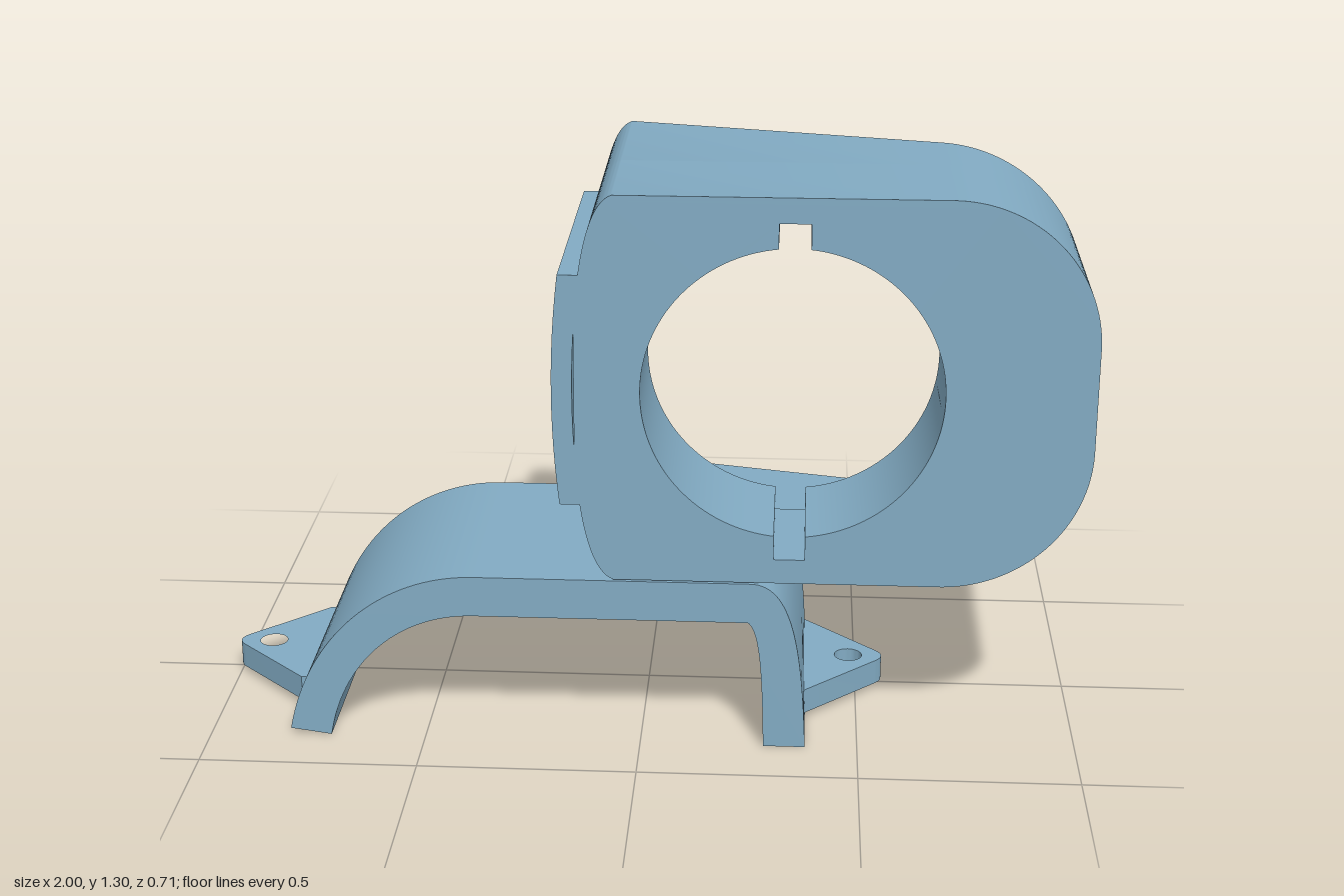
import * as THREE from 'three';
import { toCreasedNormals } from 'three/addons/utils/BufferGeometryUtils.js';

const FRONT = 0.355, FLOOR = 0.05, CY = 0.8575;
// Slanted back plane of the housing
const backZ = x => Math.max(-0.355, -0.355 + (x + 0.17) * 0.235);

export function createModel() {
  const group = new THREE.Group();
  const blue = new THREE.MeshStandardMaterial({ color: 0x82abc3 });
  blue.name = 'steel blue';

  const add = (name, geometry) => {
    const mesh = new THREE.Mesh(toCreasedNormals(geometry, 0.5), blue);
    mesh.name = name;
    group.add(mesh);
    return mesh;
  };

  // Prism along z from back (a number or a rule of x) to front
  const prism = (name, shape, front, back) => {
    const geo = new THREE.ExtrudeGeometry(shape, { depth: 1, bevelEnabled: false, curveSegments: 32 });
    const p = geo.attributes.position;
    for (let i = 0; i < p.count; i++) {
      const rear = typeof back === 'function' ? back(p.getX(i)) : back;
      p.setZ(i, p.getZ(i) > 0.5 ? front : rear);
    }
    geo.computeVertexNormals();
    return add(name, geo);
  };

  // Upper half of the housing outline, mirrored about its middle height
  const outline = inner => {
    const t = inner ? 0.04 : 0, top = 0.4475 - t;
    const path = new THREE.Path();
    path.moveTo(inner ? -0.1 : -0.146, 0.2225);
    path.lineTo(inner ? -0.095 : -0.135, 0.2675);
    if (inner) path.lineTo(-0.05, top);
    else path.quadraticCurveTo(-0.112, 0.43, -0.06, top);
    path.lineTo(0.67, top);
    path.absarc(0.67, 0.1175, 0.33 - t, Math.PI / 2, 0, true);
    const half = path.getPoints(24);
    const low = half.map(v => new THREE.Vector2(v.x, -v.y)).reverse();
    return [...half, ...low].map(v => new THREE.Vector2(v.x, v.y + CY));
  };

  // Thick front face with a round opening and two key slots
  const face = new THREE.Shape(outline(false));
  const R = 0.335, slot = 0.035, tip = 0.39, a = Math.asin(slot / R);
  const hole = new THREE.Path();
  hole.absarc(0.335, CY, R, -Math.PI / 2 + a, Math.PI / 2 - a, false);
  hole.lineTo(0.335 + slot, CY + tip);
  hole.lineTo(0.335 - slot, CY + tip);
  hole.absarc(0.335, CY, R, Math.PI / 2 + a, Math.PI * 1.5 - a, false);
  hole.lineTo(0.335 - slot, CY - tip);
  hole.lineTo(0.335 + slot, CY - tip);
  hole.closePath();
  face.holes.push(hole);
  prism('housingFace', face, FRONT, FLOOR);

  // Thin shell, open at the back and where the side plate sits
  prism('housingShell', new THREE.Shape([...outline(false), ...outline(true).reverse()]), FLOOR, backZ);

  // Slightly bowed side plate, in sections around its window
  const bowed = (y0, y1) => {
    const outer = [], inner = [];
    for (let i = 0; i <= 12; i++) {
      const y = y0 + (y1 - y0) * i / 12;
      const bow = 0.016 * (1 - ((y - CY) / 0.2675) ** 2);
      outer.push(new THREE.Vector2(-0.18 - bow, y));
      inner.push(new THREE.Vector2(-0.134 - bow, y));
    }
    return new THREE.Shape([...outer, ...inner.reverse()]);
  };
  const lo = CY - 0.2675, hi = CY + 0.2675;
  prism('sidePlateFront', bowed(lo, hi), FRONT, -0.09);
  prism('sidePlateBelowWindow', bowed(lo, 0.72), -0.09, -0.23);
  prism('sidePlateAboveWindow', bowed(1.0, hi), -0.09, -0.23);
  prism('sidePlateRear', bowed(lo, hi), -0.23, -0.352);

  // Arched bracket under the housing
  const arch = new THREE.Shape();
  arch.moveTo(-0.815, 0.013);
  arch.bezierCurveTo(-0.77, 0.25, -0.59, 0.406, -0.38, 0.406);
  arch.lineTo(0.25, 0.406);
  arch.bezierCurveTo(0.345, 0.406, 0.37, 0.25, 0.38, 0);
  arch.lineTo(0.284, 0);
  arch.bezierCurveTo(0.28, 0.16, 0.275, 0.29, 0.245, 0.31);
  arch.lineTo(-0.38, 0.31);
  arch.bezierCurveTo(-0.56, 0.31, -0.69, 0.18, -0.72, 0);
  arch.closePath();
  prism('bracketArch', arch, FRONT, -0.235);

  // Triangular screw lugs on both feet
  const lug = (name, x, s) => {
    const zc = 0.013;
    const shape = new THREE.Shape();
    shape.moveTo(x - s * 0.035, zc - 0.2);
    shape.lineTo(x, zc - 0.2);
    shape.lineTo(x + s * 0.17, zc - 0.03);
    shape.quadraticCurveTo(x + s * 0.2, zc, x + s * 0.17, zc + 0.03);
    shape.lineTo(x, zc + 0.2);
    shape.lineTo(x - s * 0.035, zc + 0.2);
    shape.closePath();
    const screw = new THREE.Path();
    screw.absarc(x + s * 0.105, zc, 0.033, 0, Math.PI * 2, true);
    shape.holes.push(screw);
    const geo = new THREE.ExtrudeGeometry(shape, { depth: 0.06, bevelEnabled: false, curveSegments: 16 });
    geo.rotateX(Math.PI / 2).translate(0, 0.076, 0);
    add(name, geo);
  };
  lug('rightLug', -0.815, -1);
  lug('leftLug', 0.377, 1);

  return group;
}
